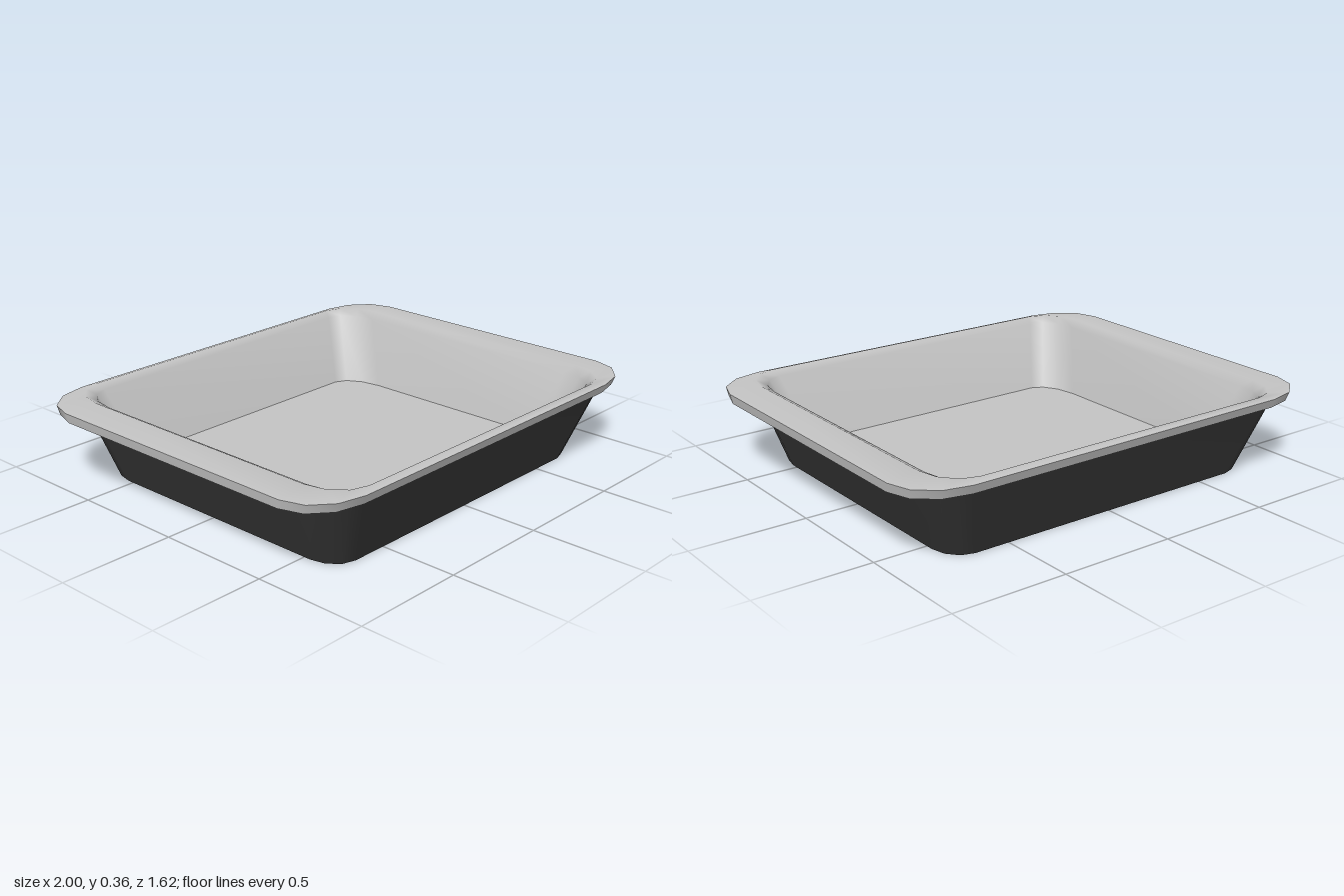
import * as THREE from 'three';

const STEPS = 3; // segments per rounded corner

// Rounded rectangle at height y: half sizes hx, hz and corner radii rx, rz
function ring([y, hx, hz, rx, rz]) {
  const points = [];
  for (let q = 0; q < 4; q++) {
    const sx = q === 0 || q === 3 ? 1 : -1;
    const sz = q < 2 ? 1 : -1;
    for (let k = 0; k <= STEPS; k++) {
      const t = (q + k / STEPS) * Math.PI / 2;
      points.push(sx * (hx - rx) + rx * Math.cos(t), y, sz * (hz - rz) + rz * Math.sin(t));
    }
  }
  return points;
}

// Smooth skin through a list of rings
function loft(name, rings, material) {
  const n = 4 * (STEPS + 1);
  const index = [];
  for (let r = 0; r < rings.length - 1; r++) {
    for (let i = 0; i < n; i++) {
      const j = (i + 1) % n;
      const a = r * n, b = a + n;
      index.push(a + i, b + i, b + j, a + i, b + j, a + j);
    }
  }
  const geometry = new THREE.BufferGeometry();
  geometry.setAttribute('position', new THREE.Float32BufferAttribute(rings.flatMap(ring), 3));
  geometry.setIndex(index);
  geometry.computeVertexNormals();
  const mesh = new THREE.Mesh(geometry, material);
  mesh.name = name;
  return mesh;
}

export function createModel() {
  const shell = new THREE.MeshStandardMaterial({ color: 0x363636 });
  shell.name = 'darkShell';
  const lining = new THREE.MeshStandardMaterial({ color: 0xc4c4c4 });
  lining.name = 'lightGreyLining';

  // Ring values: y, hx, hz, rx, rz
  const base = [0, 0.765, 0.66, 0.11, 0.13];
  const wallTop = [0.3, 0.85, 0.77, 0.12, 0.15];
  const rimLow = [0.31, 0.995, 0.795, 0.235, 0.2];
  const rimHigh = [0.35, 1, 0.81, 0.235, 0.2];
  const crest = [0.36, 0.86, 0.775, 0.15, 0.18];
  const lip = [0.335, 0.815, 0.745, 0.12, 0.18];
  const floor = [0.05, 0.715, 0.62, 0.105, 0.19];

  const group = new THREE.Group();
  group.name = 'tray';
  group.add(
    loft('bottom', [[0, 0, 0, 0, 0], base], shell),
    loft('outerWall', [base, wallTop], shell),
    loft('rimUnderside', [wallTop, rimLow], lining),
    loft('rimEdge', [rimLow, rimHigh], lining),
    loft('rimAndInnerWall', [rimHigh, crest, lip, floor], lining),
    loft('floor', [floor, [0.05, 0, 0, 0, 0]], lining),
  );
  return group;
}
